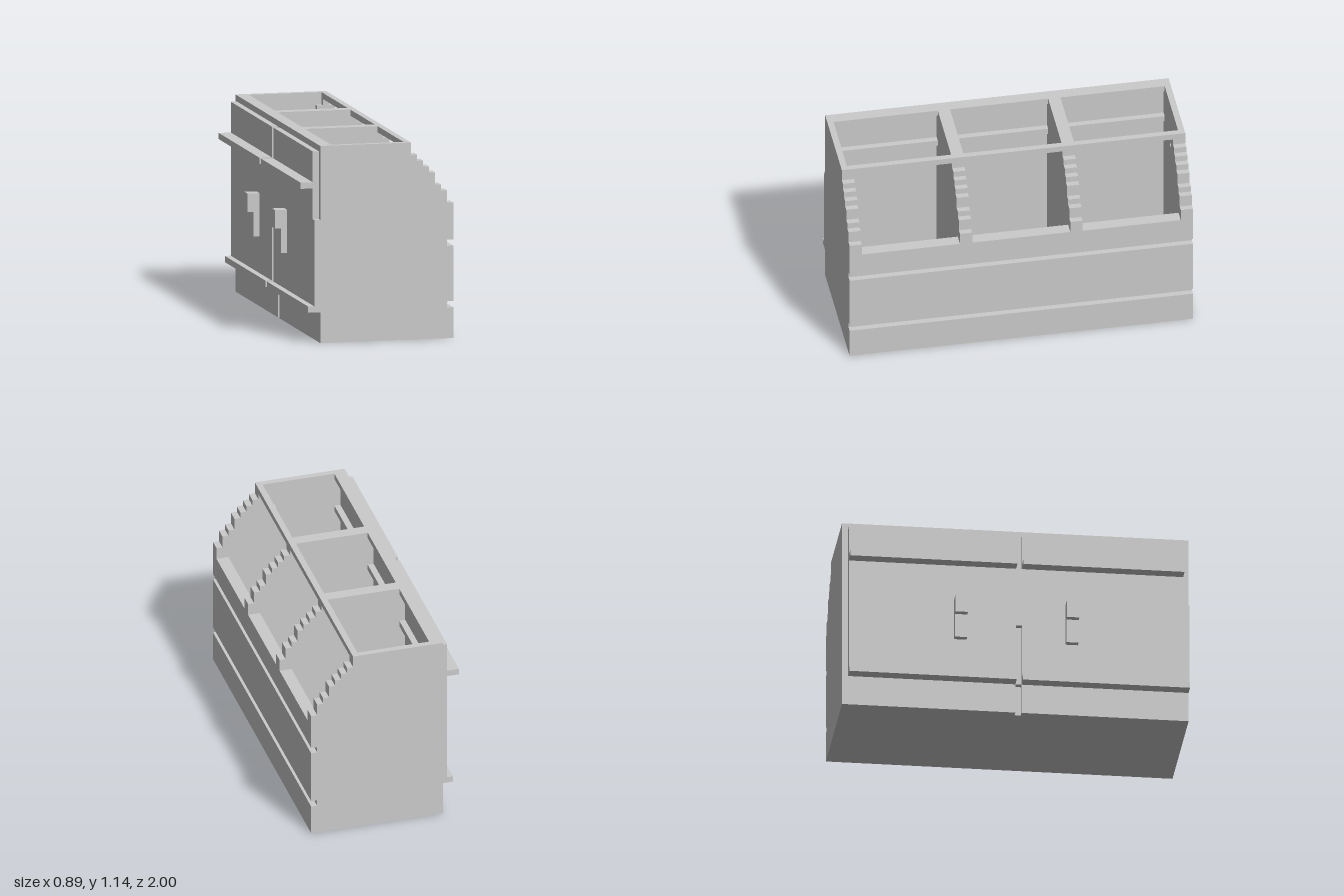
import * as THREE from 'three';

// Everything is laid out on a grid of small cubes: x 0..25, y 0..32, z -28..28
const U = 2 / 56;
const CX = 12.5;

export function createModel() {
  const model = new THREE.Group();
  const mat = new THREE.MeshStandardMaterial({ color: 0xcccccc, flatShading: true });

  const add = (geo, name) => {
    const mesh = new THREE.Mesh(geo, mat);
    mesh.name = name;
    model.add(mesh);
  };
  // box between two grid corners
  const box = (name, x0, x1, y0, y1, z0, z1) => {
    const geo = new THREE.BoxGeometry((x1 - x0) * U, (y1 - y0) * U, (z1 - z0) * U);
    geo.translate(((x0 + x1) / 2 - CX) * U, ((y0 + y1) / 2) * U, ((z0 + z1) / 2) * U);
    add(geo, name);
  };
  // upright plate cut to an outline in x and y
  const plate = (name, outline, z0, z1) => {
    const shape = new THREE.Shape(outline.map(([x, y]) => new THREE.Vector2((x - CX) * U, y * U)));
    const geo = new THREE.ExtrudeGeometry(shape, { depth: (z1 - z0) * U, bevelEnabled: false });
    geo.translate(0, 0, z0 * U);
    add(geo, name);
  };

  // stepped slope, from the sill up to the top rail
  const steps = [
    [25, 22], [24, 22], [24, 24], [23, 24], [23, 25], [22, 25], [22, 27], [21, 27],
    [21, 28], [20, 28], [20, 29], [19, 29], [19, 30], [18, 30], [18, 32],
  ];
  const profile = [
    [3, 0], [25, 0], [25, 5], [24, 5], [24, 6], [25, 6], [25, 15], [24, 15], [24, 16], [25, 16],
    ...steps, [3, 32],
  ];
  const rib = [
    [16, 20], [25, 20], ...steps, [17, 32], [17, 30], [16, 30], [16, 28], [15, 28], [15, 26], [16, 26],
  ];

  // end walls, dividers and the ribs inside the ends
  plate('endWallBack', profile, -28, -27);
  plate('endWallFront', profile, 27, 28);
  plate('dividerBack', profile, -10, -8);
  plate('dividerFront', profile, 8, 10);
  plate('endRibBack', rib, -27, -26);
  plate('endRibFront', rib, 26, 27);

  // floor and the sloped side's lower wall with two grooves
  box('floor', 4, 24, 0, 1, -27, 27);
  box('innerWall', 23, 24, 0, 20, -27, 27);
  for (const [y0, y1] of [[0, 5], [6, 15], [16, 20]]) box('wallBand', 24, 25, y0, y1, -28, 28);

  // top rails
  box('slopeRail', 17, 18, 31, 32, -28, 28);
  box('rearRail', 3, 5, 31, 32, -28, 28);

  // straight side wall, notched at the middle of its foot
  box('rearWall', 3, 4, 5, 31, -28, 28);
  box('footBacking', 4, 5, 0, 5, -27, 27);
  box('foot', 3, 4, 0, 5, -28, 0);
  box('foot', 3, 4, 0, 5, 1, 28);
  box('innerLedge', 4, 5, 25, 26, -27, 27);

  // door panels and trims in two halves, with a gap between them
  for (const [z0, zTop, zLow] of [[-27, 0, 0], [1, 27, 28]]) {
    box('upperPanel', 2, 3, 26, 31, z0, zTop);
    box('upperTrim', 0, 3, 25, 26, z0, zTop);
    box('lowerPanel', 2, 3, 6, 15, z0, zLow);
    box('lowerTrim', 1, 3, 5, 6, z0, zLow);
  }
  box('middlePanel', 2, 3, 15, 20, -27, 28);
  box('panelUnderTrim', 2, 3, 20, 25, -27, 27);

  // handles
  for (const z of [-10, 8]) {
    box('handleTop', 0, 2, 16, 19, z, z + 2);
    box('handleGrip', 1, 2, 12, 16, z, z + 2);
  }
  return model;
}
